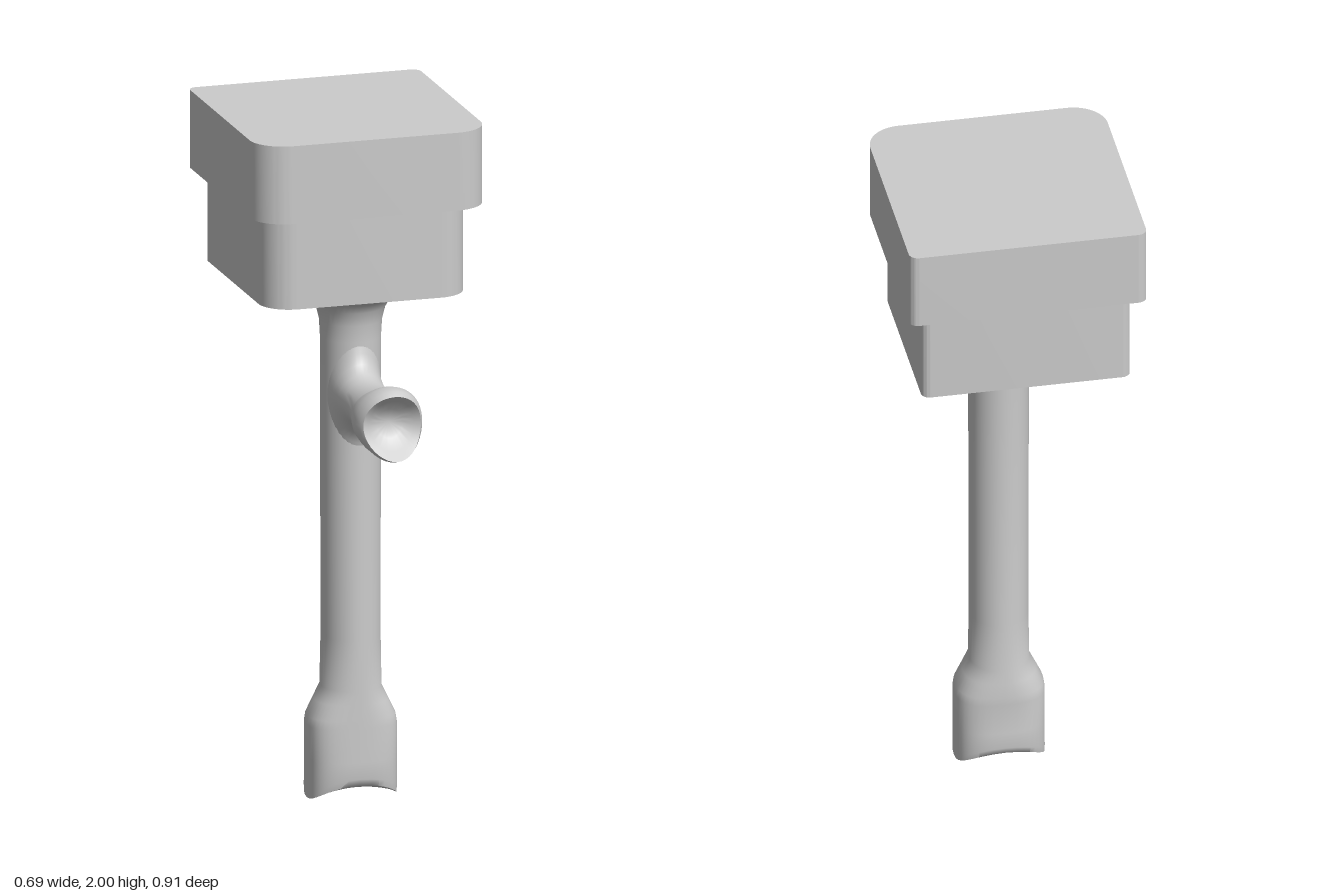
import * as THREE from 'three';
import { toCreasedNormals } from 'three/addons/utils/BufferGeometryUtils.js';

const SEG = 40;
const material = new THREE.MeshStandardMaterial({ color: 0xcccccc });

function addMesh(group, name, geometry, crease) {
  const mesh = new THREE.Mesh(toCreasedNormals(geometry, crease), material);
  mesh.name = name;
  group.add(mesh);
}

// Skin through closed rings; point(section, angle) returns [x, y, z]
function loft(sections, point) {
  const positions = [], index = [];
  sections.forEach((s, i) => {
    for (let j = 0; j < SEG; j++) {
      positions.push(...point(s, (j / SEG) * Math.PI * 2));
      if (i === sections.length - 1) continue;
      const a = i * SEG + j, b = i * SEG + (j + 1) % SEG;
      index.push(a, a + SEG, b, b, a + SEG, b + SEG);
    }
  });
  const g = new THREE.BufferGeometry();
  g.setAttribute('position', new THREE.Float32BufferAttribute(positions, 3));
  g.setIndex(index);
  return g;
}

// Upright block with wide rounded front corners and tight rear corners
function block(halfX, back, front, y0, y1, rFront, rBack) {
  const s = new THREE.Shape();
  const w = halfX, lo = -front, hi = -back;
  s.moveTo(-w + rFront, lo);
  s.lineTo(w - rFront, lo);
  s.absarc(w - rFront, lo + rFront, rFront, -Math.PI / 2, 0);
  s.lineTo(w, hi - rBack);
  s.absarc(w - rBack, hi - rBack, rBack, 0, Math.PI / 2);
  s.lineTo(-w + rBack, hi);
  s.absarc(-w + rBack, hi - rBack, rBack, Math.PI / 2, Math.PI);
  s.lineTo(-w, lo + rFront);
  s.absarc(-w + rFront, lo + rFront, rFront, Math.PI, Math.PI * 1.5);
  const g = new THREE.ExtrudeGeometry(s, { depth: y1 - y0, bevelEnabled: false, curveSegments: 10 });
  return g.rotateX(-Math.PI / 2).translate(0, y0, 0);
}

// Stem sections: [y, half width, front depth, back depth, squareness, bottom warp]
const stemSections = [
  [0.035, 0.0, 0.0, 0.0, 2.8, 0],
  [0.018, 0.06, 0.045, 0.05, 2.8, 0.6],
  [0.008, 0.11, 0.08, 0.085, 2.8, 0.9],
  [0.004, 0.13, 0.093, 0.098, 2.8, 1],
  [0.025, 0.13, 0.098, 0.105, 2.8, 0.9],
  [0.12, 0.13, 0.098, 0.098, 2.8, 0],
  [0.22, 0.13, 0.098, 0.104, 2.8, 0],
  [0.245, 0.127, 0.098, 0.105, 2.6, 0],
  [0.29, 0.106, 0.098, 0.102, 2.3, 0],
  [0.33, 0.087, 0.098, 0.099, 2.1, 0],
  [0.48, 0.085, 0.097, 0.091, 2, 0],
  [1.0, 0.086, 0.093, 0.09, 2, 0],
  [1.36, 0.087, 0.09, 0.09, 2, 0],
  [1.41, 0.09, 0.093, 0.092, 2, 0],
  [1.45, 0.1, 0.102, 0.1, 2, 0],
  [1.475, 0.115, 0.118, 0.115, 2, 0],
  [1.488, 0.14, 0.135, 0.14, 2, 0],
  [1.496, 0.18, 0.155, 0.19, 2, 0],
  [1.501, 0.24, 0.172, 0.26, 2, 0],
];

function stemPoint([y, rx, zf, zb, n, warp], a) {
  const c = Math.cos(a), s = Math.sin(a);
  const x = rx * Math.sign(c) * Math.abs(c) ** (2 / n);
  const z = (s > 0 ? zf : zb) * Math.sign(s) * Math.abs(s) ** (2 / n);
  const lift = 0.022 * (1 - (x / 0.13) ** 2) + 0.03 * (z / 0.1) ** 2;
  return [x, y + warp * lift, z];
}

// Branch sections: [z, half width, height above axis, depth below axis, wrap to stem, rim flare]
const branchSections = [
  [0.085, 0.08, 0.17, 0.17, 1, 0],
  [0.095, 0.078, 0.13, 0.135, 1, 0],
  [0.107, 0.075, 0.1, 0.105, 0.9, 0],
  [0.13, 0.071, 0.077, 0.082, 0.6, 0],
  [0.16, 0.069, 0.067, 0.07, 0.2, 0],
  [0.2, 0.07, 0.065, 0.068, 0, 0],
  [0.265, 0.08, 0.067, 0.069, 0, 0],
  [0.295, 0.09, 0.077, 0.077, 0, 0],
  [0.335, 0.1, 0.095, 0.09, 0, 0.1],
  [0.365, 0.1, 0.104, 0.1, 0, 0.3],
  [0.39, 0.093, 0.1, 0.105, 0, 0.75],
  [0.4, 0.086, 0.088, 0.098, 0, 1],
  [0.392, 0.068, 0.07, 0.075, 0, 0.6],
  [0.375, 0.04, 0.04, 0.045, 0, 0.2],
  [0.367, 0, 0, 0, 0, 0],
];

function branchPoint([z, rx, up, down, wrap, flare], a) {
  const x = rx * Math.cos(a), s = -Math.sin(a);
  const wrapZ = wrap * (0.088 - Math.sqrt(0.088 ** 2 - Math.min(Math.abs(x), 0.085) ** 2));
  const rim = flare * (s > 0 ? 0.03 : 0.053) * s * s;
  return [x, 1.2 + s * (s > 0 ? up : down), z - wrapZ + rim];
}

export function createModel() {
  const group = new THREE.Group();

  // Two-tier head
  addMesh(group, 'headCap', block(0.345, -0.455, 0.24, 1.77, 2, 0.1, 0.027), 0.5);
  addMesh(group, 'headBase', block(0.303, -0.42, 0.182, 1.5, 1.77, 0.09, 0.025), 0.5);

  // Stem with flared collar and squared foot
  addMesh(group, 'stem', loft(stemSections, stemPoint), 0.9);

  // Side branch with blended root and dished tip
  addMesh(group, 'branch', loft(branchSections, branchPoint), 0.9);

  return group;
}
